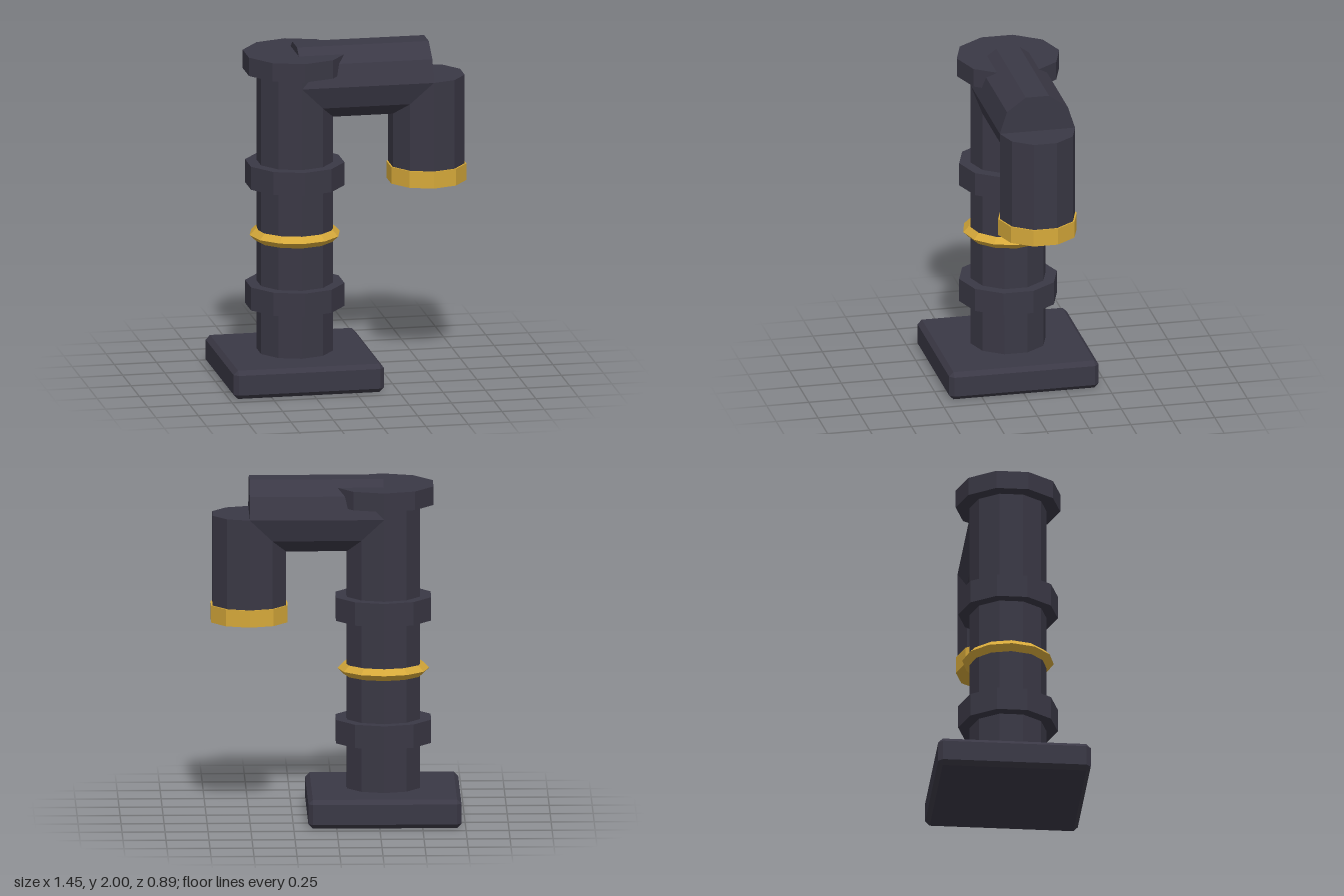
import * as THREE from 'three';
import { ConvexGeometry } from 'three/addons/geometries/ConvexGeometry.js';

const SIDES = 10;
const COLUMN_X = -0.28, NOZZLE_X = 0.5, PIPE_R = 0.224, ARM_Y = 1.787;

// Box with all edges cut at 45 degrees
function chamferedBox(w, h, d, c) {
  const x = w / 2, y = h / 2, z = d / 2, points = [];
  for (const i of [-1, 1]) for (const j of [-1, 1]) for (const k of [-1, 1]) {
    points.push(
      new THREE.Vector3(i * x, j * (y - c), k * (z - c)),
      new THREE.Vector3(i * (x - c), j * y, k * (z - c)),
      new THREE.Vector3(i * (x - c), j * (y - c), k * z));
  }
  return new ConvexGeometry(points);
}

export function createModel() {
  const group = new THREE.Group();
  const iron = new THREE.MeshStandardMaterial({ color: 0x3a3845, flatShading: true });
  iron.name = 'dark iron';
  const brass = new THREE.MeshStandardMaterial({ color: 0xd6a93a, flatShading: true });
  brass.name = 'brass';

  function add(name, geometry, material, x, y) {
    const mesh = new THREE.Mesh(geometry, material);
    mesh.name = name;
    mesh.position.set(x, y, 0);
    group.add(mesh);
    return mesh;
  }

  // Upright ten-sided drum between two heights
  function drum(name, material, x, radius, y0, y1) {
    return add(name, new THREE.CylinderGeometry(radius, radius, y1 - y0, SIDES), material, x, (y0 + y1) / 2);
  }

  // Base plate
  add('basePlate', chamferedBox(0.89, 0.17, 0.89, 0.026), iron, COLUMN_X, 0.085);

  // Column with its collars and cap
  drum('column', iron, COLUMN_X, PIPE_R, 0.1, 1.88);
  drum('lowerCollar', iron, COLUMN_X, 0.291, 0.44, 0.578);
  drum('upperCollar', iron, COLUMN_X, 0.291, 1.165, 1.303);
  drum('topCap', iron, COLUMN_X, 0.305, 1.85, 1.96);

  // Brass ring around the column
  add('columnRing', new THREE.TorusGeometry(0.232, 0.035, 4, 12), brass, COLUMN_X, 0.87).rotation.x = Math.PI / 2;

  // Horizontal arm
  const arm = new THREE.CylinderGeometry(PIPE_R, PIPE_R, NOZZLE_X - COLUMN_X, SIDES);
  add('arm', arm, iron, (COLUMN_X + NOZZLE_X) / 2, ARM_Y).rotation.z = Math.PI / 2;

  // Downward nozzle and its brass rim
  drum('nozzle', iron, NOZZLE_X, PIPE_R, 1.2, ARM_Y);
  drum('nozzleRim', brass, NOZZLE_X, 0.234, 1.155, 1.255);

  return group;
}
